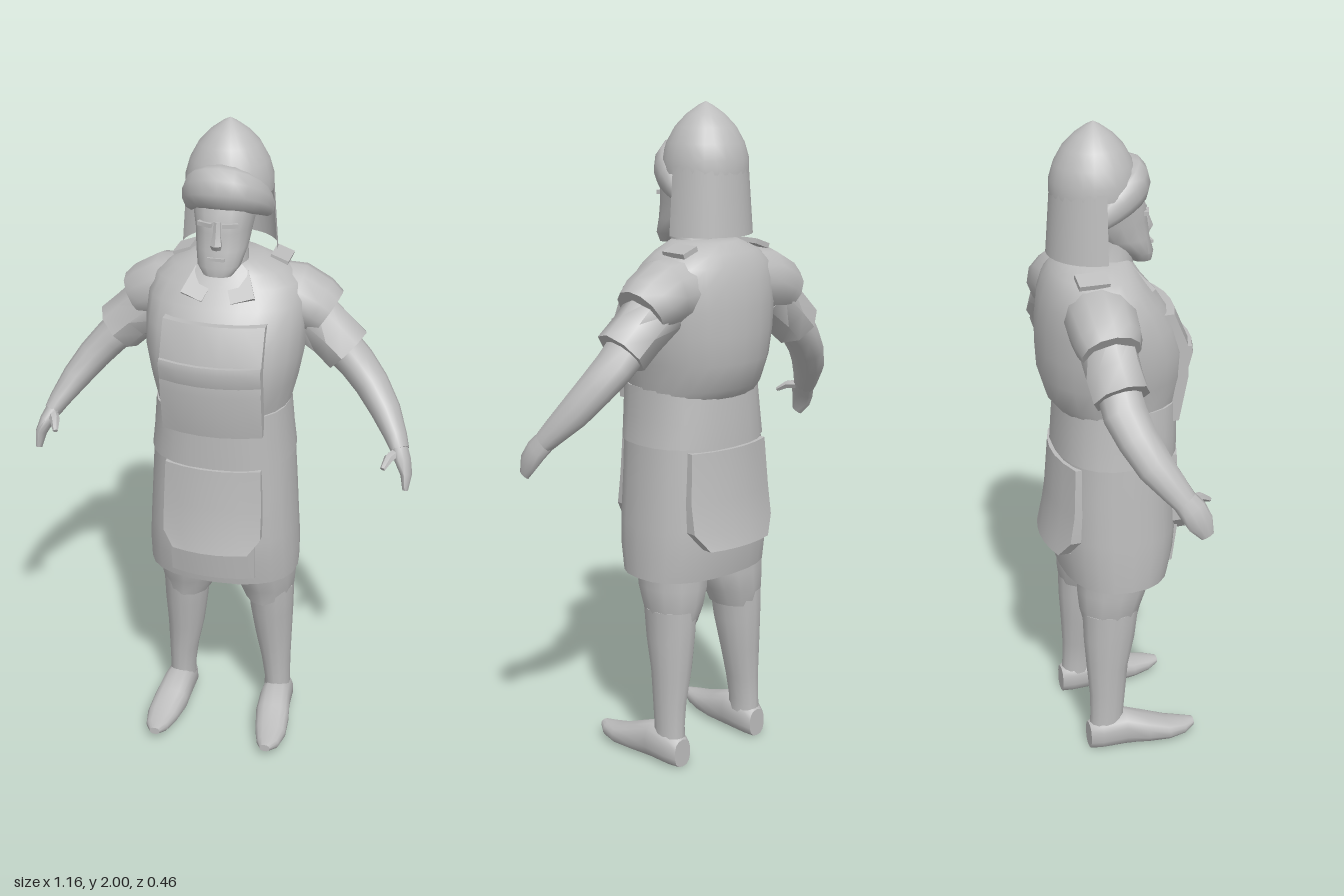
import * as THREE from 'three';
import { toCreasedNormals } from 'three/addons/utils/BufferGeometryUtils.js';

const V = (x, y, z) => new THREE.Vector3(x, y, z);
const X = V(1, 0, 0), Y = V(0, 1, 0), Z = V(0, 0, 1);

// Skin through oval rings [x, y, z, radius along ref, radius across]; p squares the oval.
function loft(rings, { ref = Z, axis = null, n = 16, p = 2, crease = 0.8 } = {}) {
  const pos = [], idx = [], pts = rings.map(r => V(r[0], r[1], r[2]));
  rings.forEach((r, i) => {
    const t = axis ? axis.clone()
      : pts[Math.min(i + 1, pts.length - 1)].clone().sub(pts[Math.max(i - 1, 0)]).normalize();
    const u = ref.clone().addScaledVector(t, -t.dot(ref)).normalize(), v = t.clone().cross(u);
    for (let j = 0; j < n; j++) {
      const a = j / n * Math.PI * 2, c = Math.cos(a), s = Math.sin(a);
      const q = pts[i].clone()
        .addScaledVector(u, r[3] * Math.sign(c) * Math.abs(c) ** (2 / p))
        .addScaledVector(v, r[4] * Math.sign(s) * Math.abs(s) ** (2 / p));
      pos.push(q.x, q.y, q.z);
    }
  });
  const m = rings.length;
  for (let i = 0; i < m - 1; i++) for (let j = 0; j < n; j++) {
    const a = i * n + j, b = i * n + (j + 1) % n;
    idx.push(a, b, b + n, a, b + n, a + n);
  }
  [0, m - 1].forEach((i, end) => {
    const c = pos.length / 3;
    pos.push(...pts[i].toArray());
    for (let j = 0; j < n; j++) {
      const a = i * n + j, b = i * n + (j + 1) % n;
      idx.push(c, end ? a : b, end ? b : a);
    }
  });
  return finish(pos, idx, crease);
}

function finish(pos, idx, crease) {
  const g = new THREE.BufferGeometry();
  g.setAttribute('position', new THREE.Float32BufferAttribute(pos, 3));
  g.setIndex(idx);
  return toCreasedNormals(g, crease);
}

// Curved cloth panel through rows [y, z, half width]; its edges tuck in behind it.
function panel(rows, side = 1, bend = 1.4) {
  const pos = [], idx = [], cols = [-1, -1, -0.6, -0.2, 0.2, 0.6, 1, 1], n = cols.length;
  const first = rows[0], last = rows[rows.length - 1];
  const all = [[first[0], first[1] - 0.04, first[2]], ...rows, [last[0], last[1] - 0.04, last[2]]];
  all.forEach(([y, z, w]) => cols.forEach((c, j) => {
    const tuck = j === 0 || j === n - 1 ? 0.035 : 0;
    pos.push(c * w * side, y, side * (z - bend * (c * w) ** 2 - tuck));
  }));
  for (let i = 0; i < all.length - 1; i++) for (let j = 0; j < n - 1; j++) {
    const a = i * n + j;
    idx.push(a, a + n, a + n + 1, a, a + n + 1, a + 1);
  }
  return finish(pos, idx, 0.6);
}

export function createModel() {
  const model = new THREE.Group();
  model.name = 'helmetedCraftsman';
  const grey = new THREE.MeshStandardMaterial({ color: 0xbcbcbc, side: THREE.DoubleSide });
  grey.name = 'plain grey';
  const add = (name, geo, place) => {
    const m = new THREE.Mesh(geo, grey);
    m.name = name;
    if (place) m.position.set(...place);
    model.add(m);
    return m;
  };

  // Skirt, belt and shirt
  add('skirt', loft([
    [0, 0.6, -0.005, 0.165, 0.232], [0, 0.68, -0.003, 0.18, 0.233], [0, 0.76, 0, 0.185, 0.228],
    [0, 0.9, 0, 0.18, 0.22], [0, 1.03, 0.003, 0.177, 0.212],
  ], { axis: Y, n: 24, p: 2.4 }));
  add('belt', loft([
    [0, 1.01, 0.003, 0.183, 0.217], [0, 1.085, 0.006, 0.182, 0.208], [0, 1.18, 0.01, 0.178, 0.2],
  ], { axis: Y, n: 24, p: 2.4 }));
  add('shirt', loft([
    [0, 1.15, 0.005, 0.175, 0.197], [0, 1.18, 0, 0.195, 0.2], [0, 1.26, -0.005, 0.214, 0.22],
    [0, 1.34, -0.008, 0.215, 0.235], [0, 1.42, -0.022, 0.2, 0.238], [0, 1.49, -0.04, 0.172, 0.235],
    [0, 1.54, -0.053, 0.143, 0.215], [0, 1.575, -0.055, 0.122, 0.17], [0, 1.605, -0.05, 0.095, 0.1],
  ], { axis: Y, n: 24, p: 2.15 }));

  // Apron: bib, pleat, hanging front flap, under panel and back flap
  add('apronBib', panel([[1.46, 0.175, 0.15], [1.36, 0.218, 0.15], [1.26, 0.222, 0.15], [1.12, 0.195, 0.15]]));
  add('bibPleat', panel([[1.355, 0.23, 0.15], [1.335, 0.234, 0.15], [1.29, 0.222, 0.15]]));
  add('apronFlap', panel([[1.005, 0.19, 0.145], [0.88, 0.198, 0.15], [0.78, 0.212, 0.15], [0.735, 0.222, 0.115]]));
  add('apronUnderPanel', panel([[0.76, 0.197, 0.13], [0.63, 0.18, 0.13]]));
  add('backFlap', panel([[1.0, 0.188, 0.15], [0.85, 0.2, 0.16], [0.76, 0.214, 0.16], [0.705, 0.226, 0.12]], -1));

  // Neck and head
  add('neck', loft([[0, 1.54, -0.02, 0.08, 0.085], [0, 1.6, 0, 0.065, 0.068], [0, 1.7, 0, 0.065, 0.065]], { axis: Y }));
  add('head', loft([
    [0, 1.588, 0.088, 0.032, 0.042], [0, 1.615, 0.073, 0.05, 0.062], [0, 1.66, 0.03, 0.081, 0.074],
    [0, 1.71, 0.005, 0.1, 0.08], [0, 1.76, -0.01, 0.108, 0.09], [0, 1.84, -0.04, 0.1, 0.1],
  ], { axis: Y, n: 16, p: 2.3 }));
  add('nose', loft([
    [0, 1.665, 0.106, 0.01, 0.014], [0, 1.68, 0.108, 0.02, 0.019],
    [0, 1.71, 0.1, 0.016, 0.012], [0, 1.745, 0.095, 0.012, 0.011],
  ], { axis: Y, n: 6 }));
  add('mouth', new THREE.BoxGeometry(0.05, 0.009, 0.02), [0, 1.64, 0.11]);

  // Helmet dome, neck guard and rolled brow
  const dome = [[0.126, 1.8], [0.126, 1.84], [0.113, 1.885], [0.088, 1.93], [0.055, 1.965], [0.02, 1.99], [0, 2]]
    .map(q => new THREE.Vector2(...q));
  add('helmetDome', new THREE.LatheGeometry(dome, 24), [0, 0, -0.052]);
  add('neckGuard', new THREE.CylinderGeometry(0.126, 0.14, 0.2, 16, 1, true, Math.PI / 2, Math.PI), [0, 1.725, -0.05]);
  const brow = [];
  for (let i = 0; i <= 12; i++) {
    const a = (i / 12 - 0.5) * Math.PI * 1.04, c = Math.max(0, Math.cos(a));
    brow.push([Math.sin(a) * 0.112, 1.745 + 0.09 * c, -0.06 + 0.128 * c, 0.028 + 0.036 * c, 0.018 + 0.024 * c]);
  }
  add('helmetBrow', loft(brow, { ref: V(0, 1, -0.25).normalize(), n: 10, crease: 1.2 }));

  for (const s of [1, -1]) {
    const side = s > 0 ? 'left' : 'right';
    const limb = (name, rings, opt) =>
      add(side + name, loft(rings.map(([x, ...r]) => [x * s, ...r]), opt));

    // Eyebrow, shoulder strap and collar flap
    add(side + 'Eyebrow', new THREE.BoxGeometry(0.045, 0.012, 0.02), [s * 0.035, 1.735, 0.092]).rotation.y = s * 0.35;
    const strap = add(side + 'ShoulderStrap', new THREE.BoxGeometry(0.055, 0.015, 0.09), [s * 0.145, 1.588, -0.1]);
    strap.rotation.z = -s * 0.35;
    const flap = add(side + 'CollarFlap', new THREE.BoxGeometry(0.07, 0.09, 0.012), [s * 0.06, 1.545, 0.075]);
    flap.rotation.set(-0.75, 0, s * 0.35);

    // Shoulder cap, short sleeve, arm and hand
    limb('ShoulderCap', [
      [0.12, 1.475, -0.08, 0.1, 0.1], [0.2, 1.47, -0.085, 0.104, 0.1],
      [0.255, 1.445, -0.088, 0.098, 0.09], [0.285, 1.425, -0.088, 0.085, 0.08],
    ], { n: 12 });
    limb('Sleeve', [
      [0.22, 1.43, -0.085, 0.085, 0.09], [0.3, 1.365, -0.085, 0.082, 0.08], [0.352, 1.318, -0.08, 0.083, 0.08],
    ], { n: 8 });
    limb('Arm', [
      [0.31, 1.35, -0.085, 0.062, 0.06], [0.38, 1.28, -0.08, 0.065, 0.054], [0.43, 1.225, -0.06, 0.06, 0.05],
      [0.48, 1.16, -0.025, 0.055, 0.043], [0.52, 1.1, 0.02, 0.043, 0.032], [0.537, 1.07, 0.043, 0.037, 0.026],
    ], { n: 12, crease: 1.2 });
    limb('Hand', [
      [0.53, 1.08, 0.035, 0.036, 0.026], [0.55, 1.045, 0.062, 0.042, 0.022],
      [0.564, 1.01, 0.08, 0.038, 0.016], [0.566, 0.968, 0.1, 0.02, 0.008],
    ], { n: 10, crease: 1.2 });
    limb('Thumb', [
      [0.535, 1.07, 0.055, 0.018, 0.016], [0.512, 1.065, 0.095, 0.015, 0.013], [0.5, 1.045, 0.128, 0.008, 0.007],
    ], { ref: X, n: 6 });

    // Breeches, shin and shoe
    limb('Breeches', [
      [0.13, 0.455, -0.045, 0.085, 0.07], [0.125, 0.51, -0.045, 0.098, 0.09],
      [0.117, 0.57, -0.035, 0.112, 0.104], [0.117, 0.65, -0.03, 0.115, 0.106],
    ], { axis: Y, n: 12 });
    limb('Shin', [
      [0.161, 0.04, -0.068, 0.056, 0.043], [0.161, 0.12, -0.066, 0.054, 0.041], [0.156, 0.2, -0.062, 0.058, 0.047],
      [0.147, 0.3, -0.06, 0.067, 0.059], [0.142, 0.4, -0.052, 0.082, 0.068], [0.138, 0.5, -0.047, 0.09, 0.074],
    ], { axis: Y, n: 14 });
    limb('Shoe', [
      [0.162, 0.045, -0.126, 0.045, 0.032], [0.164, 0.055, -0.09, 0.055, 0.047], [0.166, 0.06, -0.01, 0.06, 0.05],
      [0.172, 0.046, 0.06, 0.046, 0.055], [0.181, 0.034, 0.13, 0.031, 0.05],
      [0.184, 0.032, 0.185, 0.022, 0.036], [0.182, 0.037, 0.22, 0.012, 0.016],
    ], { axis: Z, ref: Y, n: 14, p: 2.5 });
  }
  return model;
}
